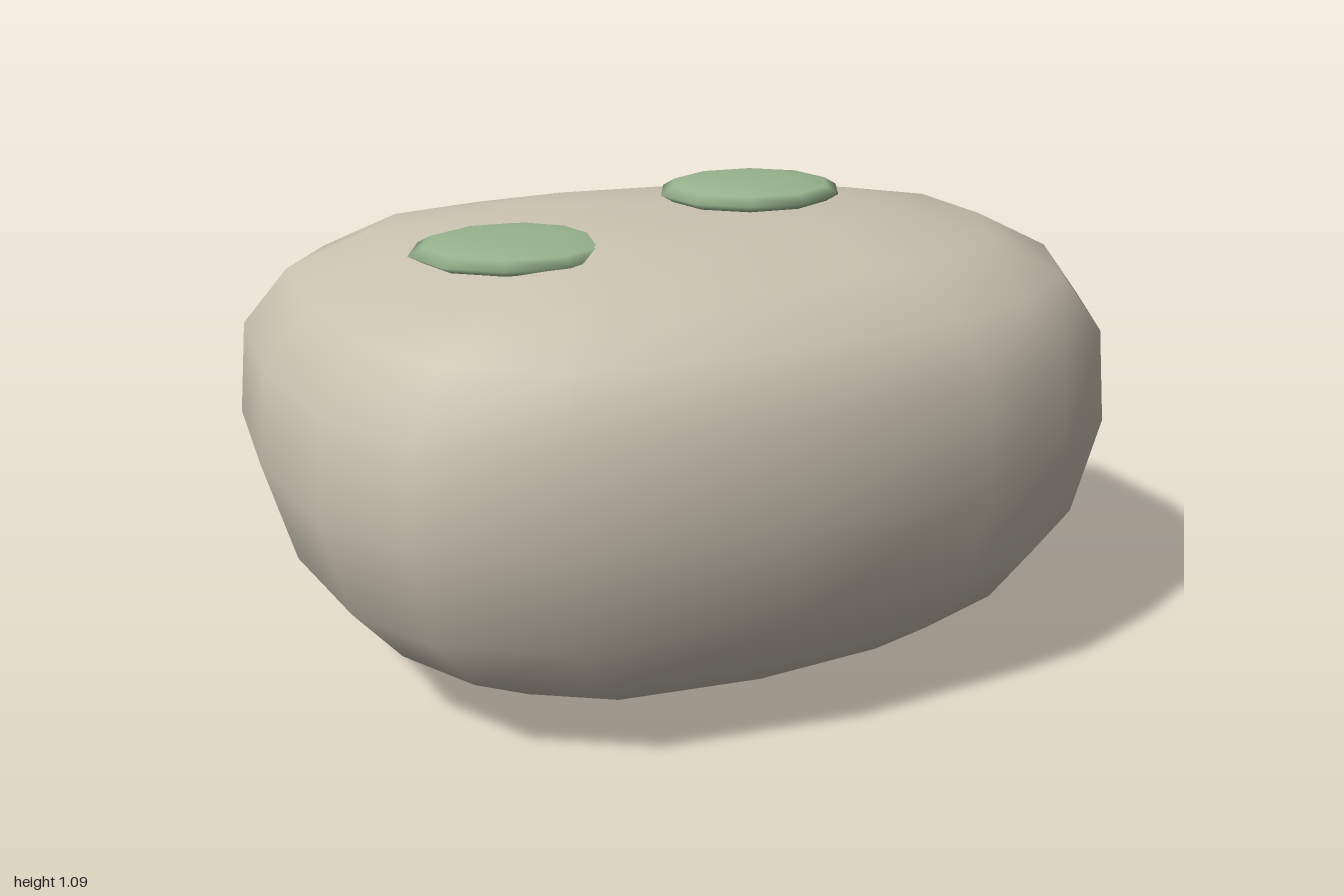
import * as THREE from 'three';

// Rock outline seen from above (x, z), going from +x towards +z
const OUTLINE = [
  [1.0, -0.01], [0.88, 0.31], [0.68, 0.5], [0.43, 0.63], [-0.03, 0.72], [-0.52, 0.715],
  [-0.79, 0.58], [-0.93, 0.36], [-1.0, 0.0], [-1.0, -0.4], [-0.87, -0.63], [-0.57, -0.73],
  [-0.03, -0.715], [0.46, -0.645], [0.76, -0.54], [0.955, -0.36],
];
// Rings from bottom to top: [outline scale, height]
const RINGS = [
  [0.2, 0.01], [0.4, 0.024], [0.65, 0.08], [0.82, 0.17], [0.935, 0.3], [1, 0.525],
  [0.98, 0.74], [0.88, 0.87], [0.7, 0.96], [0.42, 1.013], [0.2, 1.026],
];

// Closed body made by stacking scaled copies of the outline
function rockGeometry() {
  const n = OUTLINE.length, positions = [], index = [];
  for (const [s, y] of RINGS) for (const [x, z] of OUTLINE) positions.push(x * s, y, z * s);
  for (let i = 0; i < RINGS.length - 1; i++) {
    for (let j = 0; j < n; j++) {
      const a = i * n + j, b = i * n + (j + 1) % n;
      index.push(a, a + n, b, b, a + n, b + n);
    }
  }
  // Bottom and top caps
  const bottom = RINGS.length * n, top = bottom + 1, last = (RINGS.length - 1) * n;
  positions.push(-0.02, 0, 0, -0.02, 1.03, 0);
  for (let j = 0; j < n; j++) {
    const k = (j + 1) % n;
    index.push(bottom, j, k, top, last + k, last + j);
  }
  const geometry = new THREE.BufferGeometry();
  geometry.setAttribute('position', new THREE.Float32BufferAttribute(positions, 3));
  geometry.setIndex(index);
  geometry.computeVertexNormals();
  return geometry;
}

// Flattened low-poly pad of moss
function mossPatch(name, material, position, size) {
  const mesh = new THREE.Mesh(new THREE.SphereGeometry(1, 10, 6), material);
  mesh.name = name;
  mesh.position.set(...position);
  mesh.scale.set(...size);
  return mesh;
}

export function createModel() {
  const stone = new THREE.MeshStandardMaterial({ color: 0xc9c2b0 });
  const moss = new THREE.MeshStandardMaterial({ color: 0x98b48e });

  const model = new THREE.Group();
  model.name = 'mossyRock';

  const rock = new THREE.Mesh(rockGeometry(), stone);
  rock.name = 'rock';
  model.add(
    rock,
    mossPatch('mossPatchTop', moss, [0.125, 1.053, -0.015], [0.21, 0.033, 0.19]),
    mossPatch('mossPatchSide', moss, [-0.455, 0.996, 0.14], [0.23, 0.032, 0.205]),
  );
  return model;
}
